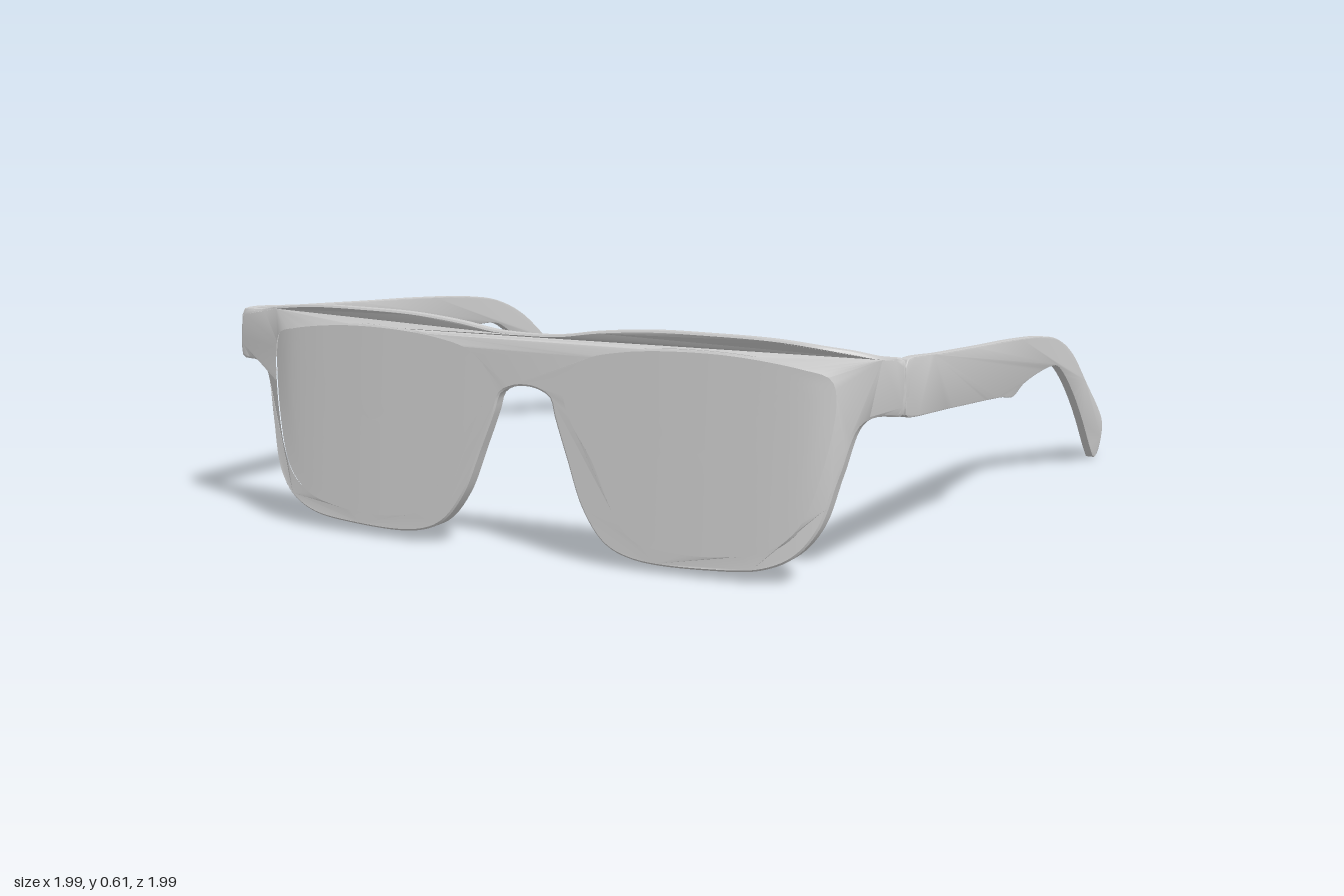
import * as THREE from 'three';
import { toCreasedNormals } from 'three/addons/utils/BufferGeometryUtils.js';

const material = new THREE.MeshStandardMaterial({ color: 0xcccccc });

// Closed smooth outline through a few points, evenly resampled
function outline(points, count) {
  const curve = new THREE.CatmullRomCurve3(
    points.map(([x, y]) => new THREE.Vector3(x, y, 0)), true, 'centripetal');
  return curve.getSpacedPoints(count).slice(0, count).map((p) => new THREE.Vector2(p.x, p.y));
}

// Wrap of the front: depth of the front surface at x = 0, 0.1 ... 1
const wrap = new THREE.SplineCurve(
  [0.96, 0.96, 0.96, 0.959, 0.957, 0.954, 0.948, 0.94, 0.923, 0.879, 0.864]
    .map((z, i) => new THREE.Vector2(i / 10, z)));

// Lower rims lean forward and are thicker than the top bar
const drop = (y) => THREE.MathUtils.clamp((0.57 - y) / 0.54, 0, 1);
const frontZ = (x, y) => wrap.getPoint(Math.min(Math.abs(x), 1)).y + 0.04 * drop(y);
const depthAt = (x, y) =>
  0.028 + 0.026 * drop(y) * (1 - THREE.MathUtils.smoothstep(Math.abs(x), 0.84, 0.92));

// Half outlines on the +x side
const rimHalf = [
  [0.1, 0.578], [0.2, 0.593], [0.35, 0.606], [0.5, 0.608], [0.7, 0.603], [0.85, 0.584],
  [0.92, 0.57], [0.98, 0.567], [0.99, 0.56], [0.99, 0.437], [0.98, 0.43], [0.93, 0.427],
  [0.89, 0.403], [0.85, 0.28], [0.81, 0.148], [0.755, 0.078], [0.675, 0.04], [0.54, 0.025],
  [0.33, 0.028], [0.245, 0.06], [0.18, 0.14], [0.128, 0.268], [0.09, 0.368], [0.074, 0.416],
  [0.037, 0.435],
];
const lensHalf = [
  [0.106, 0.46], [0.16, 0.52], [0.28, 0.552], [0.54, 0.564], [0.755, 0.541], [0.825, 0.52],
  [0.842, 0.475], [0.822, 0.305], [0.768, 0.15], [0.7, 0.09], [0.6, 0.061], [0.41, 0.055],
  [0.32, 0.076], [0.266, 0.135], [0.2, 0.262], [0.128, 0.369],
];
const mirror = (pts) => pts.map(([x, y]) => [-x, y]).reverse();

// Front frame: flat extrusion with lens openings, then bent to the wrap
function frameGeometry() {
  const shape = new THREE.Shape(
    outline([[0, 0.574], ...rimHalf, [0, 0.44], ...mirror(rimHalf)], 320));
  for (const pts of [lensHalf, mirror(lensHalf)]) shape.holes.push(new THREE.Path(outline(pts, 110)));
  const geo = new THREE.ExtrudeGeometry(shape, {
    depth: 0.8, bevelThickness: 0.1, bevelSize: 0.005, bevelOffset: -0.005, bevelSegments: 1,
  });
  const pos = geo.attributes.position;
  for (let i = 0; i < pos.count; i++) {
    const x = pos.getX(i), y = pos.getY(i), t = pos.getZ(i) + 0.1;
    pos.setZ(i, frontZ(x, y) - depthAt(x, y) * (1 - t));
  }
  return toCreasedNormals(geo, 0.5);
}

// Lens: front and back skins made of shrinking loops of the opening
function lensGeometry(half) {
  const rim = outline(half, 96), n = rim.length, rings = 10;
  const cx = Math.sign(half[0][0]) * 0.49, cy = 0.31;
  const positions = [], index = [];
  for (const back of [0, 1]) {
    const start = positions.length / 3;
    for (let r = 0; r <= rings; r++) {
      const s = 1.004 * (1 - r / rings);
      for (const p of rim) {
        const x = cx + (p.x - cx) * s, y = cy + (p.y - cy) * s;
        const inset = back ? depthAt(x, y) - 0.009 : 0.009;
        positions.push(x, y, frontZ(x, y) - inset);
      }
    }
    for (let r = 0; r < rings; r++) {
      for (let i = 0; i < n; i++) {
        const a = start + r * n + i, b = start + r * n + (i + 1) % n, c = a + n, d = b + n;
        // The outlines run clockwise seen from the front
        if (back) index.push(a, b, c, b, d, c);
        else index.push(a, c, b, b, c, d);
      }
    }
  }
  const geo = new THREE.BufferGeometry();
  geo.setAttribute('position', new THREE.Float32BufferAttribute(positions, 3));
  geo.setIndex(index);
  geo.computeVertexNormals();
  return geo;
}

// Temple arm: side profile as (z, y), extruded across its thickness
function templeGeometry() {
  const profile = [
    [0.853, 0.567], [0.6, 0.55], [0.3, 0.528], [0, 0.507], [-0.28, 0.48], [-0.44, 0.451],
    [-0.6, 0.389], [-0.79, 0.264], [-0.95, 0.154], [-0.99, 0.115], [-0.995, 0.08],
    [-0.957, 0.022], [-0.904, 0.007], [-0.86, 0.04], [-0.74, 0.16], [-0.63, 0.255],
    [-0.52, 0.331], [-0.44, 0.37], [-0.36, 0.379], [-0.1, 0.367], [0, 0.345], [0.09, 0.358],
    [0.5, 0.395], [0.853, 0.428], [0.862, 0.434], [0.862, 0.56],
  ];
  const geo = new THREE.ExtrudeGeometry(new THREE.Shape(outline(profile, 180)), {
    depth: 0.017, bevelThickness: 0.004, bevelSize: 0.004, bevelOffset: -0.004, bevelSegments: 2,
  });
  geo.translate(0, 0, -0.0085);
  geo.rotateY(-Math.PI / 2);
  return toCreasedNormals(geo, 0.5);
}

export function createModel() {
  const glasses = new THREE.Group();
  glasses.name = 'glasses';
  const add = (name, geometry) => {
    const mesh = new THREE.Mesh(geometry, material);
    mesh.name = name;
    glasses.add(mesh);
    return mesh;
  };

  add('frontFrame', frameGeometry());
  add('leftLens', lensGeometry(lensHalf));
  // Reversing the mirrored outline keeps it clockwise
  add('rightLens', lensGeometry(mirror(lensHalf)));
  const temple = templeGeometry();
  add('leftTemple', temple).position.x = 0.983;
  add('rightTemple', temple).position.x = -0.983;

  // The pair sits with a very slight roll
  glasses.rotation.z = -0.006;
  const model = new THREE.Group();
  model.name = 'eyewear';
  model.add(glasses);
  return model;
}
